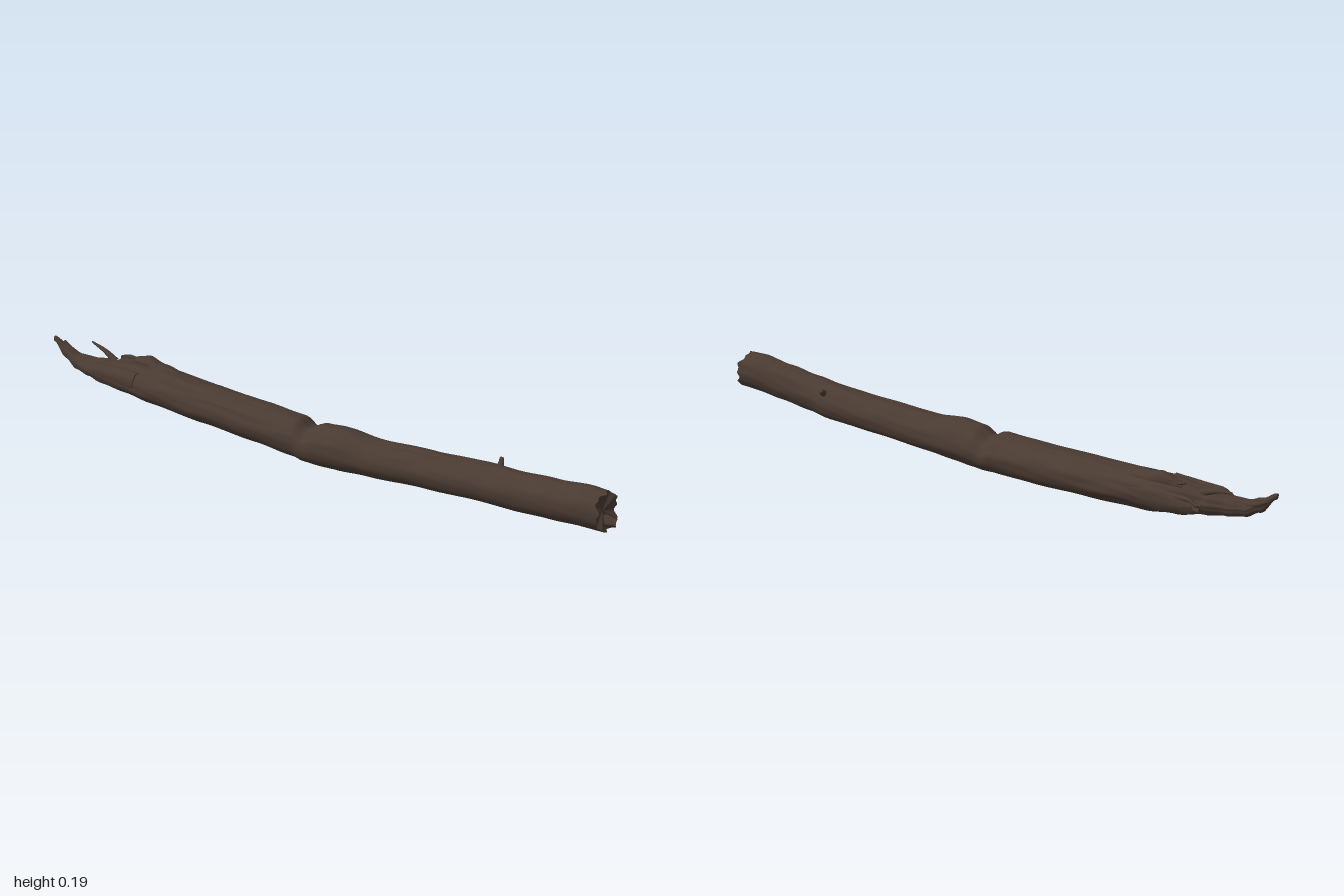
import * as THREE from 'three';

const SIDES = 56;
const smooth = (t) => t * t * (3 - 2 * t);
const bump = (v, c, w) => Math.exp(-(((v - c) / w) ** 2));

// Smoothly read [bottom, top, back, front] at x from a station table
function sample(stations, x) {
  let i = 0;
  while (i < stations.length - 2 && x > stations[i + 1][0]) i++;
  const p = stations[i], q = stations[i + 1];
  const t = smooth(THREE.MathUtils.clamp((x - p[0]) / (q[0] - p[0]), 0, 1));
  return [1, 2, 3, 4].map((k) => THREE.MathUtils.lerp(p[k], q[k], t));
}

// Bark relief: wavy ridges and narrow cracks, fading out underneath
function bark(x, a) {
  const w = a + 0.12 * Math.sin(5 * x) + 0.05 * Math.sin(17 * x + 1);
  const up = 0.25 + 0.75 * smooth(0.5 + 0.5 * Math.cos(a + 0.3));
  let r = 0.018 * Math.sin(3 * w + 4 * x) + 0.016 * Math.sin(7 * w + 9 * x)
    + 0.012 * Math.sin(13 * w - 15 * x) + 0.008 * Math.sin(31 * x + 5 * w);
  const rough = 1 + 1.4 * smooth(THREE.MathUtils.clamp((-x - 0.3) / 0.4, 0, 1));
  for (const [c, from, to] of [[-0.75, -0.95, -0.1], [-0.2, -0.85, -0.35], [0.45, -0.9, -0.05],
    [-0.5, 0.02, 0.55], [0.3, 0.1, 0.9], [0.95, -0.7, 0.3]]) {
    if (x > from && x < to) {
      r -= 0.07 * bump(w, c, 0.07) * Math.sin(Math.PI * (x - from) / (to - from));
    }
  }
  return 1 + r * up * rough;
}

// Solid lofted along x through station boxes, with rough end faces
function loft(stations, count, bend, sides = SIDES) {
  const pos = [], index = [];
  const x0 = stations[0][0], x1 = stations[stations.length - 1][0];
  const ring = (x, scale) => {
    const [b, t, k, f] = sample(stations, x);
    const row = [];
    for (let j = 0; j < sides; j++) {
      const a = (j / sides) * Math.PI * 2;
      const s = scale * bark(x, a);
      const y = (b + t) / 2 + (t - b) / 2 * Math.cos(a) * s;
      const z = (k + f) / 2 + (f - k) / 2 * Math.sin(a) * s;
      row.push([x + (bend ? bend(x, y, z, a, scale) : 0), y, z]);
    }
    return row;
  };
  const strip = (rows) => {
    const base = pos.length / 3;
    rows.forEach((row) => row.forEach((p) => pos.push(...p)));
    for (let i = 0; i < rows.length - 1; i++) {
      for (let j = 0; j < sides; j++) {
        const a = base + i * sides + j, b = base + i * sides + (j + 1) % sides;
        index.push(a, b, a + sides, b, b + sides, a + sides);
      }
    }
  };
  const body = [];
  for (let i = 0; i <= count; i++) body.push(ring(x0 + (x1 - x0) * i / count, 1));
  const cap = [1, 0.92, 0.75, 0.5, 0.25, 0];
  strip(body);
  strip(cap.map((s) => ring(x1, s)));
  strip([...cap].reverse().map((s) => ring(x0, s)));
  const g = new THREE.BufferGeometry();
  g.setAttribute('position', new THREE.Float32BufferAttribute(pos, 3));
  g.setIndex(index);
  g.computeVertexNormals();
  return g;
}

// Small tapering twig along a curved path
function twig(points, r0, r1) {
  const curve = new THREE.CatmullRomCurve3(points.map((p) => new THREE.Vector3(...p)));
  const g = new THREE.TubeGeometry(curve, 10, 1, 8);
  const p = g.attributes.position;
  for (let i = 0; i <= 10; i++) {
    const c = curve.getPointAt(i / 10), r = r0 + (r1 - r0) * i / 10;
    for (let j = 0; j <= 8; j++) {
      const v = new THREE.Vector3().fromBufferAttribute(p, i * 9 + j).sub(c).multiplyScalar(r).add(c);
      p.setXYZ(i * 9 + j, v.x, v.y, v.z);
    }
  }
  g.computeVertexNormals();
  return g;
}

export function createModel() {
  const model = new THREE.Group();
  model.name = 'fallenBranch';
  const barkBrown = new THREE.MeshStandardMaterial({ color: 0x4a3b32 });
  barkBrown.name = 'bark brown';
  const add = (name, geometry) => {
    const mesh = new THREE.Mesh(geometry, barkBrown);
    mesh.name = name;
    model.add(mesh);
  };

  // Trunk: x, bottom, top, back, front
  const trunk = [
    [-0.995, 0.172, 0.19, -0.002, 0.012], [-0.95, 0.12, 0.165, -0.014, 0.018],
    [-0.9, 0.093, 0.145, -0.02, 0.03], [-0.85, 0.083, 0.142, -0.032, 0.04],
    [-0.79, 0.073, 0.148, -0.05, 0.056], [-0.7, 0.058, 0.158, -0.078, 0.06],
    [-0.6, 0.044, 0.158, -0.085, 0.064], [-0.4, 0.029, 0.146, -0.081, 0.068],
    [-0.2, 0.015, 0.14, -0.075, 0.07], [-0.06, 0.006, 0.135, -0.062, 0.076],
    [-0.02, 0.003, 0.112, -0.057, 0.08], [0.03, 0.002, 0.135, -0.056, 0.084],
    [0.1, 0.005, 0.14, -0.055, 0.085], [0.2, 0.012, 0.128, -0.054, 0.081],
    [0.4, 0.02, 0.132, -0.054, 0.071], [0.58, 0.025, 0.14, -0.058, 0.065],
    [0.68, 0.028, 0.146, -0.041, 0.068], [0.8, 0.036, 0.156, -0.038, 0.073],
    [0.9, 0.043, 0.166, -0.036, 0.076], [0.965, 0.043, 0.164, -0.032, 0.075],
  ];
  // Slanted, ragged break at the thick end
  const brokenEnd = (x, y, z, a, s) => {
    const t = smooth(THREE.MathUtils.clamp((x - 0.9) / 0.065, 0, 1));
    const rim = 0.006 * Math.sin(5 * a + 1) + 0.004 * Math.sin(11 * a);
    const dish = 0.012 * (1 - s * s) - 0.006 * Math.sin(60 * y) * Math.cos(70 * z) * (1 - s);
    return t * (-0.14 * (z - 0.02) - 0.14 * (y - 0.1) + rim * s - dish);
  };
  add('trunk', loft(trunk, 220, brokenEnd));

  // Torn layers left standing at the splintered end
  add('backSplinter', loft([
    [-0.785, 0.108, 0.134, -0.09, -0.068], [-0.74, 0.09, 0.136, -0.09, -0.058],
    [-0.66, 0.07, 0.145, -0.088, -0.04], [-0.5, 0.07, 0.13, -0.078, -0.03],
  ], 36, (x, y, z, a) => (x < -0.74 ? 0.012 * Math.sin(3 * a) : 0), 24));
  add('topSplinter', loft([
    [-0.71, 0.145, 0.164, -0.048, -0.022], [-0.65, 0.13, 0.182, -0.055, -0.012],
    [-0.6, 0.125, 0.167, -0.058, 0.002], [-0.46, 0.11, 0.143, -0.04, 0.0],
  ], 30, (x, y, z, a) => (x < -0.68 ? 0.01 * Math.sin(4 * a) : 0), 20));
  add('frontSplinter', loft([
    [-0.87, 0.1, 0.128, 0.012, 0.038], [-0.8, 0.09, 0.15, 0.01, 0.056],
    [-0.65, 0.08, 0.15, 0.01, 0.062],
  ], 24, null, 20));

  // Thin twigs, tip splinters and the knot
  add('splinterTwig', twig([[-0.77, 0.14, -0.02], [-0.82, 0.163, -0.03], [-0.88, 0.177, -0.042]], 0.012, 0.003));
  add('tipSplinter', twig([[-0.9, 0.13, 0.0], [-0.95, 0.152, -0.012], [-0.975, 0.168, -0.018]], 0.014, 0.004));
  add('sideTwig', twig([[-0.7, 0.13, -0.07], [-0.76, 0.138, -0.08], [-0.79, 0.13, -0.086]], 0.012, 0.004));
  add('knot', twig([[0.6, 0.115, -0.03], [0.597, 0.13, -0.048], [0.592, 0.14, -0.06]], 0.014, 0.006));
  add('endSplinter', twig([[0.94, 0.068, 0.01], [0.975, 0.066, 0.008], [0.992, 0.066, 0.006]], 0.025, 0.012));

  return model;
}
